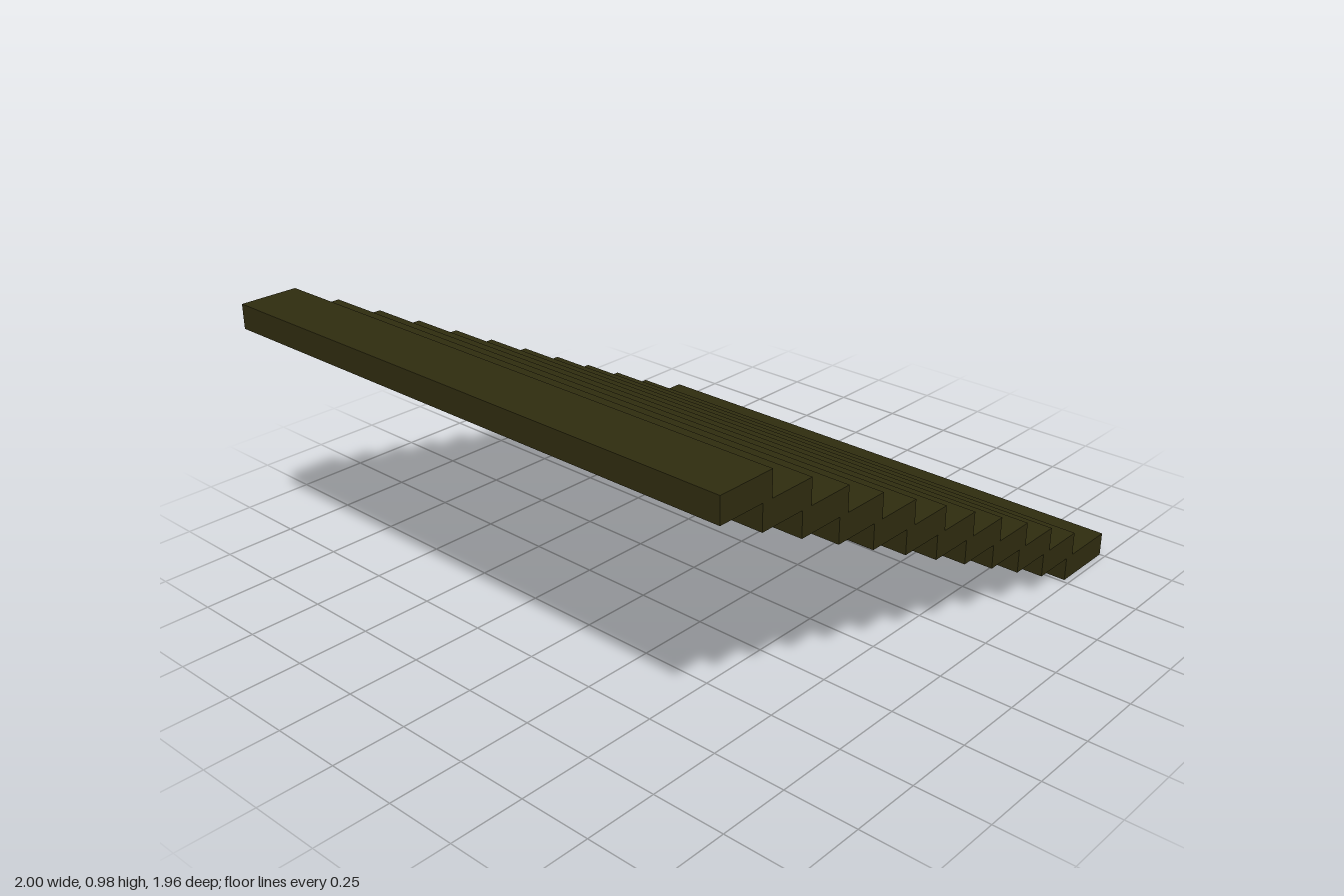
import * as THREE from 'three';

export function createModel() {
  const group = new THREE.Group();
  group.name = 'staircase';

  const darkOlive = new THREE.MeshStandardMaterial({ color: 0x2f2c0f });
  darkOlive.name = 'darkOlive';

  const count = 12;
  const rise = 0.982 / count;
  const run = 0.1603;
  const depth = 1.96;

  // Overlapping slab treads, descending from -x to +x
  for (let i = 0; i < count; i++) {
    const left = -1 + i * run;
    // The lowest tread is a little wider
    const right = i === count - 1 ? 1 : left + 0.197;
    const step = new THREE.Mesh(new THREE.BoxGeometry(right - left, rise, depth), darkOlive);
    step.name = `step${i + 1}`;
    step.position.set((left + right) / 2, (count - i - 0.5) * rise, 0);
    group.add(step);
  }

  return group;
}
